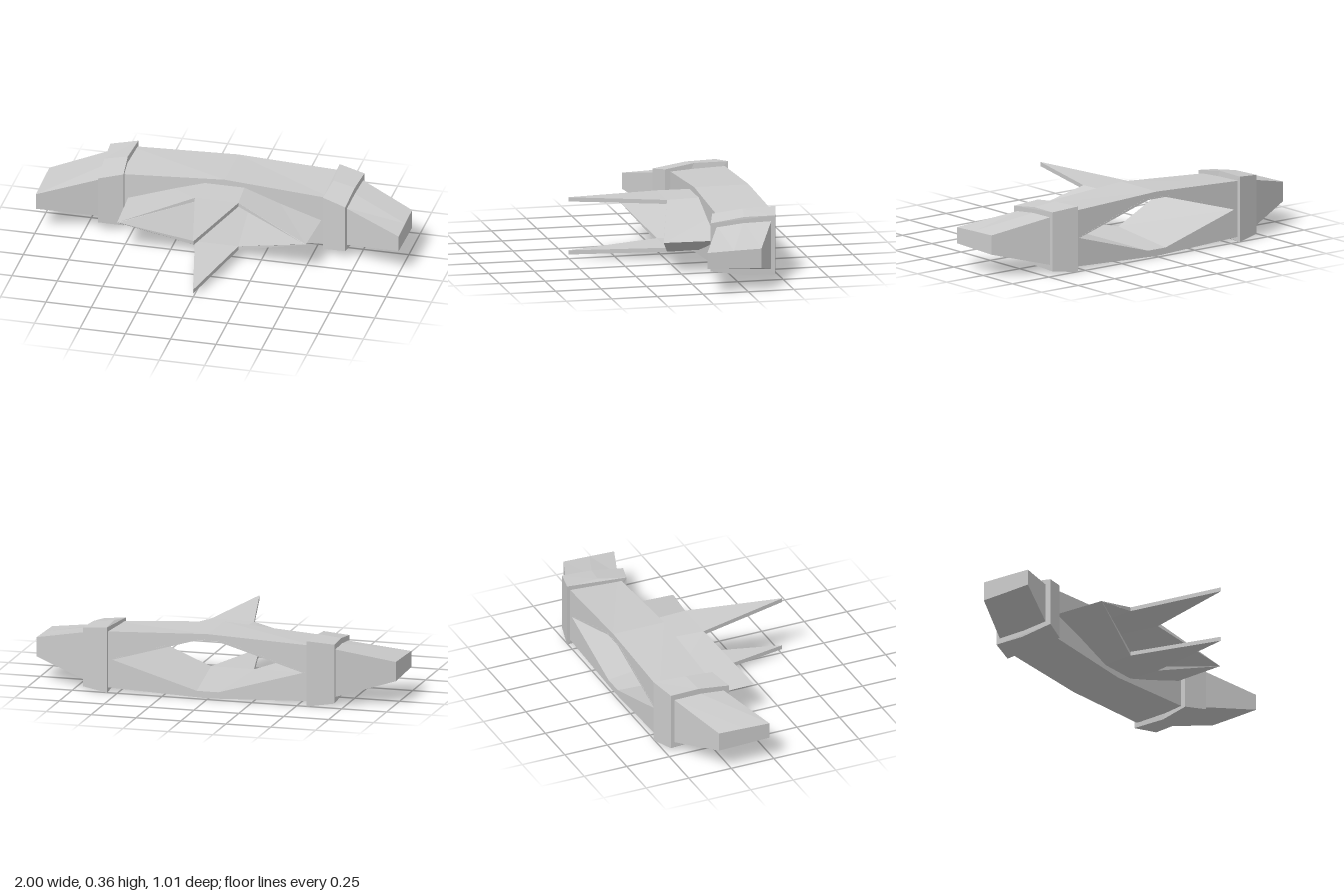
import * as THREE from 'three';

const MID = 0.18; // height of the horizontal symmetry plane

const material = new THREE.MeshStandardMaterial({ color: 0xcccccc, flatShading: true, side: THREE.DoubleSide });

// Skin a list of matching rings (clockwise seen from the loft direction), optionally capped.
function loft(rings, capped = true) {
  const pos = [];
  const tri = (a, b, c) => pos.push(...a, ...b, ...c);
  const n = rings[0].length;
  for (let r = 0; r < rings.length - 1; r++) {
    const A = rings[r], B = rings[r + 1];
    for (let i = 0; i < n; i++) {
      const j = (i + 1) % n;
      tri(A[i], B[i], B[j]);
      tri(A[i], B[j], A[j]);
    }
  }
  if (capped) {
    const A = rings[0], B = rings[rings.length - 1];
    for (let i = 1; i < n - 1; i++) {
      tri(A[0], A[i], A[i + 1]);
      tri(B[0], B[i + 1], B[i]);
    }
  }
  const geometry = new THREE.BufferGeometry();
  geometry.setAttribute('position', new THREE.Float32BufferAttribute(pos, 3));
  geometry.computeVertexNormals();
  return geometry;
}

// Vertically symmetric section from [x, z, halfHeight] stations, front to back.
function section(stations, side) {
  const top = stations.map(([x, z, h]) => [x * side, MID + h, z]);
  const bottom = stations.map(([x, z, h]) => [x * side, MID - h, z]).reverse();
  const ring = [...top, ...bottom];
  return side < 0 ? ring.reverse() : ring;
}

// Six-cornered opening: half width, half width of the flat, half height.
function hexagon(w, flat, h) {
  return [[-w, 0], [-flat, h], [flat, h], [w, 0], [flat, -h], [-flat, -h]];
}

export function createModel() {
  const model = new THREE.Group();
  const add = (name, geometry) => {
    const mesh = new THREE.Mesh(geometry, material);
    mesh.name = name;
    model.add(mesh);
  };

  // Main hull, its opening lined by the duct
  const toVectors = (points) => points.map(([x, y]) => new THREE.Vector2(x, y));
  const shape = new THREE.Shape(toVectors(
    [[-0.6, -0.152], [0, -0.177], [0.6, -0.152], [0.6, 0.152], [0, 0.177], [-0.6, 0.152]]));
  shape.holes.push(new THREE.Path(toVectors(hexagon(0.53, 0.09, 0.14))));
  const hull = new THREE.ExtrudeGeometry(shape, { depth: 0.3, bevelEnabled: false });
  // Lower the front edge towards both ends
  const p = hull.attributes.position;
  for (let i = 0; i < p.count; i++) {
    if (Math.abs(p.getX(i)) > 0.59 && p.getZ(i) > 0.1) p.setY(i, p.getY(i) * 0.9);
  }
  hull.translate(0, MID, -0.487);
  hull.computeVertexNormals();
  add('hull', hull);

  // Thin-walled duct, narrower flats at the back, side corners reaching forward
  const ductRing = (w, flat, h, front) => hexagon(w, flat, h).map(([x, y]) =>
    [x, MID + y, front ? (y === 0 ? 0.102 : -0.01) : -0.488]);
  const ductRings = [
    ductRing(0.545, 0.09, 0.145, false), ductRing(0.52, 0.12, 0.142, true),
    ductRing(0.513, 0.12, 0.12, true), ductRing(0.53, 0.06, 0.139, false),
  ];
  add('duct', loft([...ductRings, ductRings[0]], false));

  // Upper and lower forward spikes
  for (const s of [1, -1]) {
    const bar = (w, z, inner, outer) => {
      const ring = [[-w, MID + s * outer, z], [w, MID + s * outer, z],
        [w, MID + s * inner, z], [-w, MID + s * inner, z]];
      return s < 0 ? ring.reverse() : ring;
    };
    add(s > 0 ? 'upperSpike' : 'lowerSpike',
      loft([bar(0.12, -0.01, 0.12, 0.142), bar(0.001, 0.504, 0.134, 0.157)]));
  }

  for (const side of [1, -1]) {
    const prefix = side > 0 ? 'left' : 'right';

    // Raised cuff around the hull end
    add(prefix + 'Cuff', loft([
      section([[0.55, -0.157, 0.154], [0.567, -0.32, 0.177], [0.555, -0.505, 0.18]], side),
      section([[0.682, -0.118, 0.132], [0.69, -0.3, 0.159], [0.7, -0.468, 0.162]], side),
    ]));

    // Tapered wing tip, swept forward
    add(prefix + 'WingTip', loft([
      section([[0.67, -0.155, 0.112], [0.675, -0.3, 0.13], [0.69, -0.45, 0.133]], side),
      section([[1, -0.025, 0.044], [1, -0.17, 0.049], [1, -0.322, 0.053]], side),
    ]));
  }

  return model;
}
